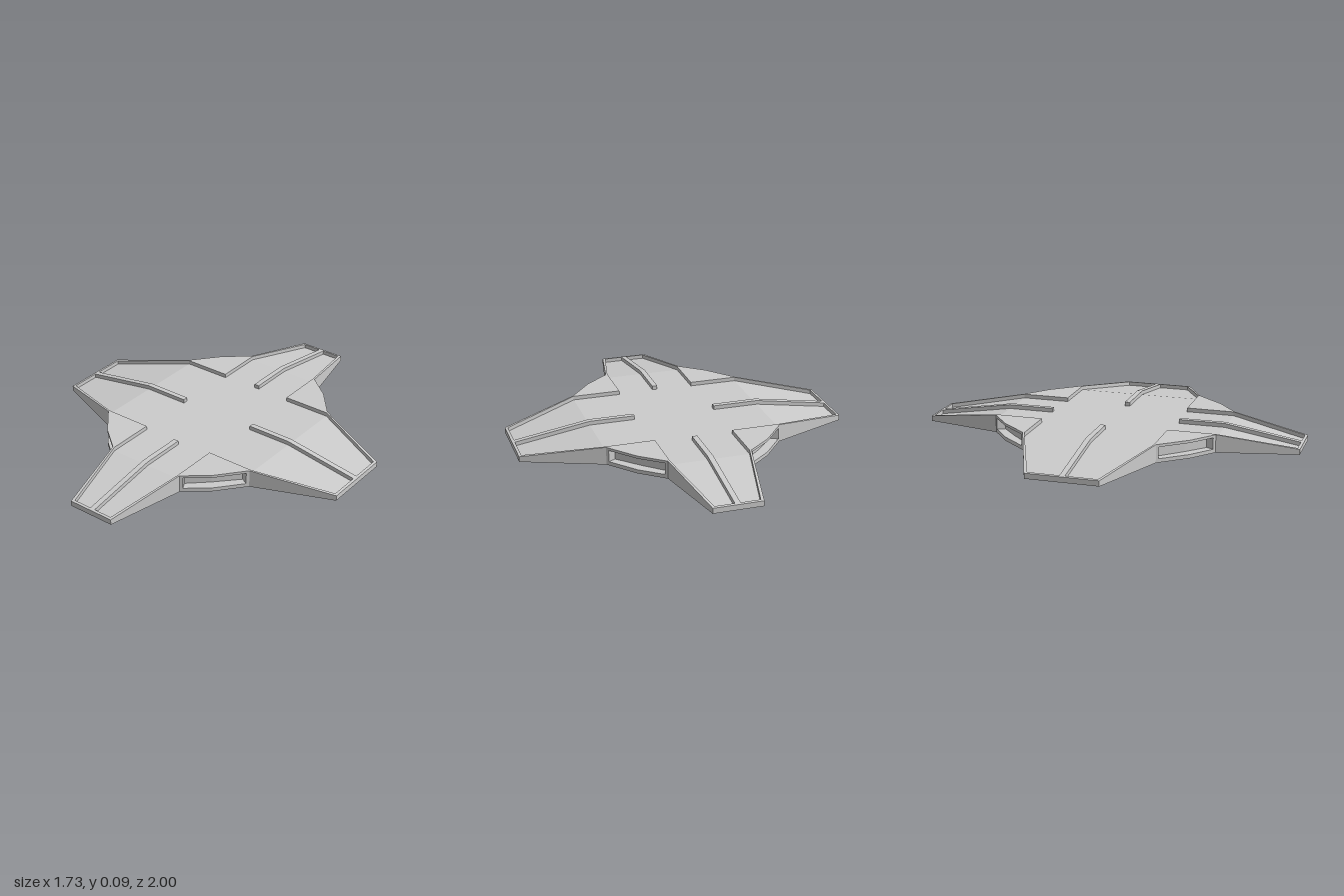
import * as THREE from 'three';

const TOP = 0.094, TIP = 0.028, SUNK = 0.021;
const FLOOR = TOP - SUNK;

// Prism over a plan outline of [x, z] points; the top height may be a rule
function prism(points, bottom, top) {
  const shape = new THREE.Shape(points.map(([x, z]) => new THREE.Vector2(x, z)));
  const geo = new THREE.ExtrudeGeometry(shape, { depth: 1, bevelEnabled: false });
  geo.rotateX(Math.PI / 2);
  const p = geo.attributes.position;
  for (let i = 0; i < p.count; i++) {
    const isTop = p.getY(i) > -0.5;
    p.setY(i, isTop ? (typeof top === 'function' ? top(p.getX(i), p.getZ(i)) : top) : bottom);
  }
  geo.computeVertexNormals();
  return geo;
}

export function createModel() {
  const model = new THREE.Group();
  model.name = 'crossPlatform';
  const grey = new THREE.MeshStandardMaterial({ color: 0xcccccc });
  grey.name = 'lightGrey';

  const add = (parent, name, points, bottom, top) => {
    const mesh = new THREE.Mesh(prism(points, bottom, top), grey);
    mesh.name = name;
    parent.add(mesh);
  };

  // Sunken middle deck
  const a = 0.205, b = 0.337, ex = 0.46, ez = 0.59;
  add(model, 'centreDeck', [
    [a, ez], [a, b], [ex, b], [ex, -b], [a, -b], [a, -ez],
    [-a, -ez], [-a, -b], [-ex, -b], [-ex, b], [-a, b], [-a, ez],
  ], 0, FLOOR);

  // Sloping arms: distances run along the arm (u) and across it (v)
  const arms = [
    { name: 'frontBackArm', alongX: false, root: 0.59, end: 1, vRoot: 0.215, vEnd: 0.127, inRoot: 0.205, inEnd: 0.114, ribStart: 0.348 },
    { name: 'sideArm', alongX: true, root: 0.46, end: 0.867, vRoot: 0.347, vEnd: 0.187, inRoot: 0.337, inEnd: 0.176, ribStart: 0.218 },
  ];
  for (const arm of arms) {
    for (const s of [1, -1]) {
      const group = new THREE.Group();
      group.name = arm.name;
      model.add(group);
      const { root, end, vRoot, vEnd, inRoot, inEnd, ribStart } = arm;
      const inner = end - 0.014;
      const plan = (pts) => pts.map(([u, v]) => (arm.alongX ? [s * u, v] : [v, s * u]));
      const slope = (drop) => (x, z) => {
        const t = (Math.abs(arm.alongX ? x : z) - root) / (end - root);
        return TOP + (TIP - TOP) * Math.max(0, t) - drop;
      };
      add(group, 'armDeck', plan([[root, -inRoot], [root, inRoot], [inner, inEnd], [inner, -inEnd]]), 0, slope(SUNK));
      add(group, 'endRim', plan([[inner, -inEnd], [inner, inEnd], [end, vEnd], [end, -vEnd]]), 0, slope(0));
      for (const m of [1, -1]) {
        add(group, 'sideRim', plan([[root, m * inRoot], [root, m * vRoot], [end, m * vEnd], [inner, m * inEnd]]), 0, slope(0));
      }
      // Centre rib, level over the deck and then sloping with the arm
      const w = 0.014;
      add(group, 'ribLevel', plan([[ribStart, -w], [ribStart, w], [root, w], [root, -w]]), FLOOR - 0.01, TOP);
      add(group, 'ribSlope', plan([[root, -w], [root, w], [inner, w], [inner, -w]]), 0, slope(0));
    }
  }

  // Raised corner blocks, each with a long bent slot in its outer wall
  const start = [[0.46, b], [a, b], [a, 0.59], [0.215, 0.59]];
  const solid = [...start, [0.34, 0.49], [0.46, 0.347]];
  const slotted = [...start, [0.228, 0.58], [0.207, 0.542], [0.305, 0.452], [0.413, 0.339], [0.45, 0.359], [0.46, 0.347]];
  for (const sx of [1, -1]) {
    for (const sz of [1, -1]) {
      const corner = new THREE.Group();
      corner.name = 'cornerBlock';
      model.add(corner);
      const flip = (pts) => pts.map(([x, z]) => [sx * x, sz * z]);
      add(corner, 'slotSill', flip(solid), 0, 0.02);
      add(corner, 'slotBack', flip(slotted), 0.02, 0.08);
      add(corner, 'slotLintel', flip(solid), 0.08, TOP);
    }
  }
  return model;
}
